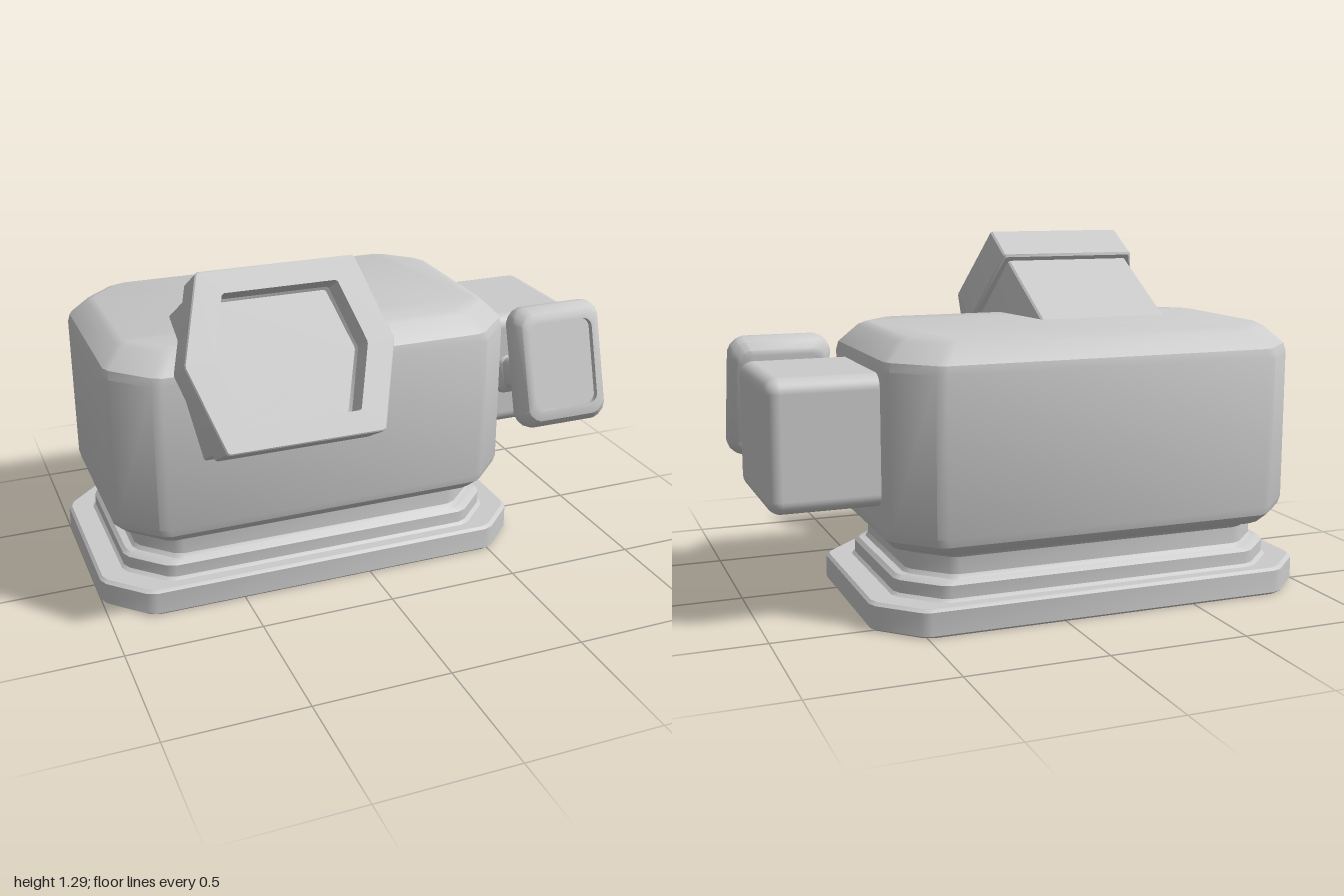
import * as THREE from 'three';
import { toCreasedNormals } from 'three/addons/utils/BufferGeometryUtils.js';
import { RoundedBoxGeometry } from 'three/addons/geometries/RoundedBoxGeometry.js';

const material = new THREE.MeshStandardMaterial({ color: 0xcccccc });

// Replace every corner of a polygon by two points at distance e from it
function soften(points, e) {
  return points.flatMap((p, i) => {
    const n = points.length;
    const before = points[(i + n - 1) % n], after = points[(i + 1) % n];
    return [before, after].map((q) => {
      const d = Math.hypot(q[0] - p[0], q[1] - p[1]);
      return [p[0] + ((q[0] - p[0]) * e) / d, p[1] + ((q[1] - p[1]) * e) / d];
    });
  });
}

// Counter-clockwise rectangle (half sizes w, h) with chamfered corners
function chamferRect(w, h, c, e) {
  return soften([
    [w, c - h], [w, h - c], [w - c, h], [c - w, h],
    [-w, h - c], [-w, c - h], [c - w, -h], [w - c, -h],
  ], e);
}

// Hexagon: half width at the middle, half width of the flat edges, half height
function hexagon(mid, flat, h) {
  return soften([[mid, 0], [flat, h], [-flat, h], [-mid, 0], [-flat, -h], [flat, -h]], 0.006);
}

// Skin a list of [z, ring] sections and cap both ends
function loft(sections) {
  const n = sections[0][1].length, last = sections.length - 1;
  const positions = [], index = [];
  for (const [z, ring] of sections) for (const [x, y] of ring) positions.push(x, y, z);
  for (let i = 0; i < last; i++) {
    for (let j = 0; j < n; j++) {
      const a = i * n + j, b = i * n + ((j + 1) % n);
      index.push(a, b, b + n, a, b + n, a + n);
    }
  }
  for (let j = 1; j < n - 1; j++) {
    index.push(0, j + 1, j);
    index.push(last * n, last * n + j, last * n + j + 1);
  }
  const geometry = new THREE.BufferGeometry();
  geometry.setAttribute('position', new THREE.Float32BufferAttribute(positions, 3));
  geometry.setIndex(index);
  return toCreasedNormals(geometry, 0.5);
}

function addMesh(parent, name, geometry, x = 0, y = 0, z = 0) {
  const mesh = new THREE.Mesh(geometry, material);
  mesh.name = name;
  mesh.position.set(x, y, z);
  parent.add(mesh);
  return mesh;
}

// Upright stack of chamfered sections from rows of [y, half width, half depth, chamfer]
function stack(rows) {
  const sections = rows.map(([y, w, d, c]) => [y, chamferRect(w, d, c, 0.02)]);
  return loft(sections).rotateX(-Math.PI / 2);
}

export function createModel() {
  const model = new THREE.Group();
  model.name = 'model';

  // Stepped pedestal
  addMesh(model, 'pedestal', stack([
    [0, 0.82, 0.467, 0.15], [0.008, 0.828, 0.475, 0.15],
    [0.09, 0.828, 0.475, 0.15], [0.1, 0.818, 0.465, 0.15],
    [0.1, 0.738, 0.425, 0.14], [0.11, 0.728, 0.415, 0.14],
    [0.155, 0.728, 0.415, 0.14], [0.168, 0.715, 0.402, 0.14],
    [0.171, 0.69, 0.398, 0.135], [0.185, 0.68, 0.388, 0.13],
    [0.245, 0.68, 0.388, 0.13], [0.265, 0.695, 0.4, 0.13],
    [0.3, 0.695, 0.4, 0.13],
  ]), -0.172, 0, -0.18);

  // Main housing with bevelled edges
  addMesh(model, 'housing', stack([
    [0.263, 0.71, 0.418, 0.135], [0.27, 0.73, 0.438, 0.14],
    [0.305, 0.763, 0.471, 0.15], [0.335, 0.77, 0.478, 0.15],
    [0.88, 0.77, 0.478, 0.15], [0.91, 0.763, 0.471, 0.15],
    [0.972, 0.703, 0.411, 0.135], [0.985, 0.675, 0.383, 0.125],
  ]), -0.17, 0, -0.183);

  // Box on the left end
  addMesh(model, 'sideBox', new RoundedBoxGeometry(0.46, 0.457, 0.51, 4, 0.05), 0.752, 0.638, -0.21);

  // Tilted hexagonal viewer, axis along its local z
  const viewer = new THREE.Group();
  viewer.name = 'viewer';
  viewer.position.set(-0.38, 1.033, 0.517);
  viewer.rotation.x = -Math.PI / 6;
  model.add(viewer);
  addMesh(viewer, 'viewerTube', loft([
    [-0.75, hexagon(0.33, 0.254, 0.277)], [-0.12, hexagon(0.33, 0.254, 0.277)],
  ]));
  addMesh(viewer, 'viewerHood', loft([
    [-0.18, hexagon(0.357, 0.268, 0.294)], [-0.172, hexagon(0.365, 0.275, 0.302)],
    [-0.005, hexagon(0.365, 0.275, 0.302)], [0, hexagon(0.361, 0.271, 0.298)],
    [0, hexagon(0.267, 0.2, 0.222)], [-0.1, hexagon(0.267, 0.2, 0.222)],
    [-0.11, hexagon(0.259, 0.192, 0.214)],
  ]));

  // Small tilted display with its stem
  const display = new THREE.Group();
  display.name = 'display';
  display.position.set(0.808, 0.71, 0.203);
  display.rotation.x = -0.285;
  model.add(display);
  addMesh(display, 'displayPanel', loft([
    [-0.068, chamferRect(0.145, 0.19, 0.03, 0.01)], [-0.06, chamferRect(0.163, 0.207, 0.035, 0.012)],
    [-0.03, chamferRect(0.184, 0.23, 0.04, 0.014)], [-0.015, chamferRect(0.188, 0.234, 0.04, 0.014)],
    [0.015, chamferRect(0.188, 0.234, 0.04, 0.014)], [0.03, chamferRect(0.184, 0.23, 0.04, 0.014)],
    [0.06, chamferRect(0.163, 0.207, 0.035, 0.012)], [0.068, chamferRect(0.145, 0.182, 0.03, 0.01)],
    [0.068, chamferRect(0.133, 0.166, 0.022, 0.008)], [0.045, chamferRect(0.133, 0.166, 0.022, 0.008)],
  ]));
  addMesh(display, 'displayStem', loft([
    [-0.24, chamferRect(0.085, 0.085, 0.02, 0.006)], [-0.17, chamferRect(0.08, 0.08, 0.02, 0.006)],
    [-0.145, chamferRect(0.066, 0.062, 0.02, 0.006)], [-0.03, chamferRect(0.066, 0.062, 0.02, 0.006)],
  ]), -0.088, -0.03, 0);

  return model;
}
